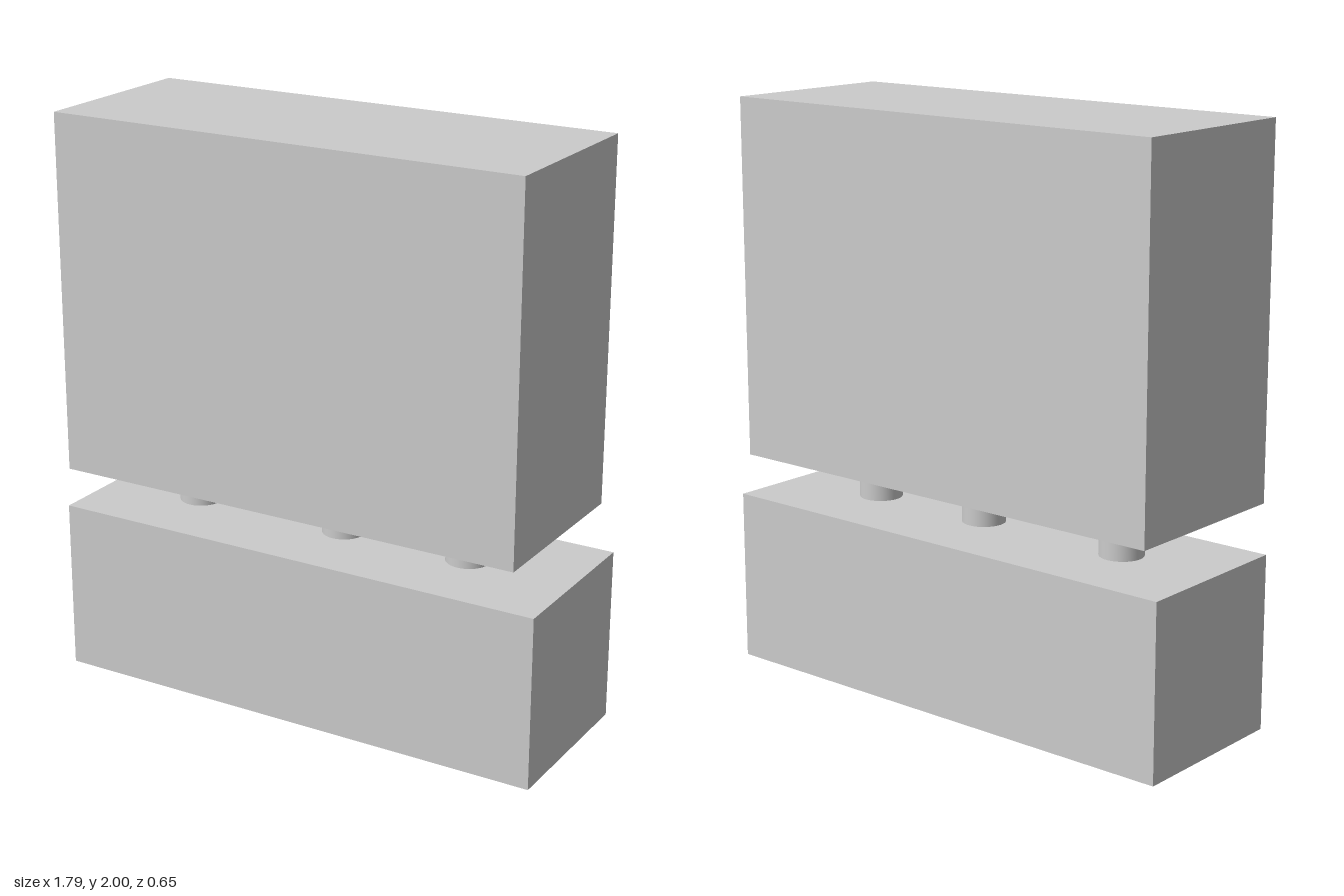
import * as THREE from 'three';

export function createModel() {
  const group = new THREE.Group();
  const material = new THREE.MeshStandardMaterial({ color: 0xcccccc });

  const add = (name, geometry, x, y, z) => {
    const mesh = new THREE.Mesh(geometry, material);
    mesh.name = name;
    mesh.position.set(x, y, z);
    group.add(mesh);
  };

  const baseTop = 0.6;
  const panelBottom = 0.757;
  const panelHeight = 2 - panelBottom;

  // Low base block
  add('base', new THREE.BoxGeometry(1.795, baseTop, 0.6), 0, baseTop / 2, -0.01);

  // Tall upper block
  add('upperBlock', new THREE.BoxGeometry(1.7, panelHeight, 0.65), -0.01, panelBottom + panelHeight / 2, 0);

  // Three round posts joining the blocks
  const postHeight = panelBottom - baseTop;
  const post = new THREE.CylinderGeometry(0.075, 0.075, postHeight, 32);
  [-0.54, 0.04, 0.513].forEach((x, i) => {
    add(`post${i + 1}`, post, x, baseTop + postHeight / 2, -0.008);
  });

  return group;
}
